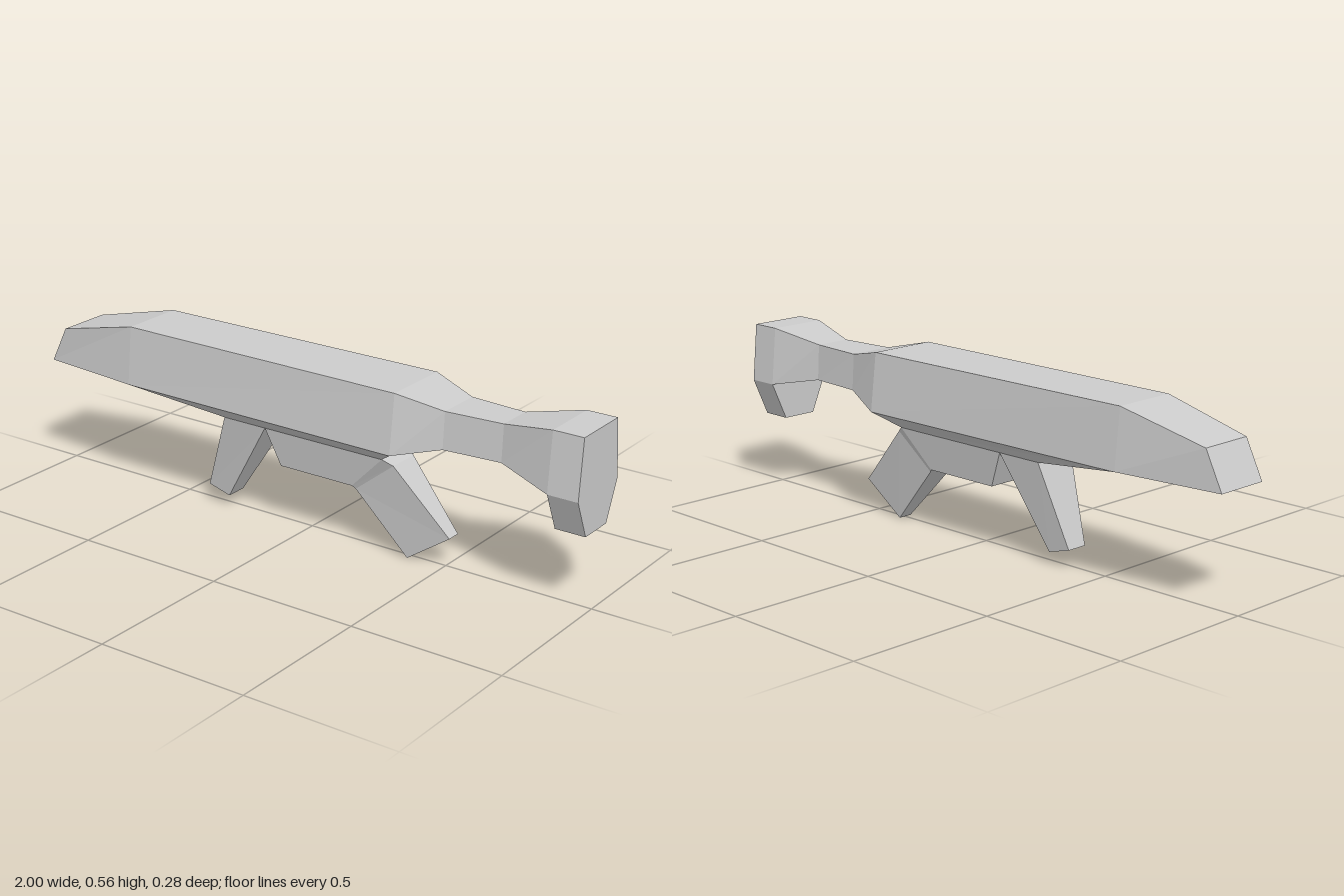
import * as THREE from 'three';

// Lofts four-sided sections running towards +x.
// Section: [topX, topY, topHalfWidth, bottomX, bottomY, bottomHalfWidth]
function loft(name, sections, material) {
  const rings = sections.map(([tx, ty, tw, bx, by, bw]) => [
    [tx, ty, tw], [tx, ty, -tw], [bx, by, -bw], [bx, by, bw],
  ]);
  const positions = [];
  const quad = (a, b, c, d) => positions.push(...a, ...b, ...c, ...a, ...c, ...d);

  for (let i = 0; i < rings.length - 1; i++) {
    for (let j = 0; j < 4; j++) {
      const k = (j + 1) % 4;
      quad(rings[i][j], rings[i + 1][j], rings[i + 1][k], rings[i][k]);
    }
  }
  quad(...rings[0]);
  quad(...[...rings[rings.length - 1]].reverse());

  const geometry = new THREE.BufferGeometry();
  geometry.setAttribute('position', new THREE.Float32BufferAttribute(positions, 3));
  geometry.computeVertexNormals();
  const mesh = new THREE.Mesh(geometry, material);
  mesh.name = name;
  return mesh;
}

export function createModel() {
  const model = new THREE.Group();
  model.name = 'rifle';
  const grey = new THREE.MeshStandardMaterial({ color: 0xcccccc, flatShading: true });
  const add = (name, sections) => model.add(loft(name, sections, grey));

  // Long housing, slanted nose, narrow neck and flared butt
  add('body', [
    [-0.94, 0.495, 0.09, -1, 0.375, 0.09],
    [-0.64, 0.565, 0.107, -0.64, 0.375, 0.127],
    [0.38, 0.565, 0.115, 0.38, 0.375, 0.138],
    [0.53, 0.53, 0.075, 0.53, 0.412, 0.083],
    [0.72, 0.53, 0.06, 0.72, 0.412, 0.067],
    [0.9, 0.565, 0.097, 0.9, 0.375, 0.115],
    [1, 0.565, 0.097, 1, 0.375, 0.115],
  ]);

  // Tapered underside
  add('belly', [
    [-0.64, 0.375, 0.127, -0.29, 0.325, 0.073],
    [0.38, 0.375, 0.138, 0.31, 0.325, 0.073],
  ]);

  // Lower part of the butt
  add('buttToe', [
    [0.9, 0.375, 0.115, 0.9, 0.25, 0.06],
    [1, 0.375, 0.115, 1, 0.25, 0.06],
  ]);

  // Forward-raked grip
  add('frontGrip', [
    [-0.29, 0.325, 0.073, -0.385, 0.062, 0.036],
    [-0.13, 0.325, 0.073, -0.305, 0.04, 0.036],
  ]);

  // Central block that bends into the rear grip
  add('centreBlockAndRearGrip', [
    [-0.13, 0.325, 0.073, -0.08, 0.205, 0.057],
    [0.31, 0.325, 0.073, 0.19, 0.205, 0.057],
    [0.34, 0.305, 0.055, 0.2, 0.195, 0.05],
    [0.525, 0.103, 0.024, 0.375, 0, 0.024],
  ]);

  return model;
}
